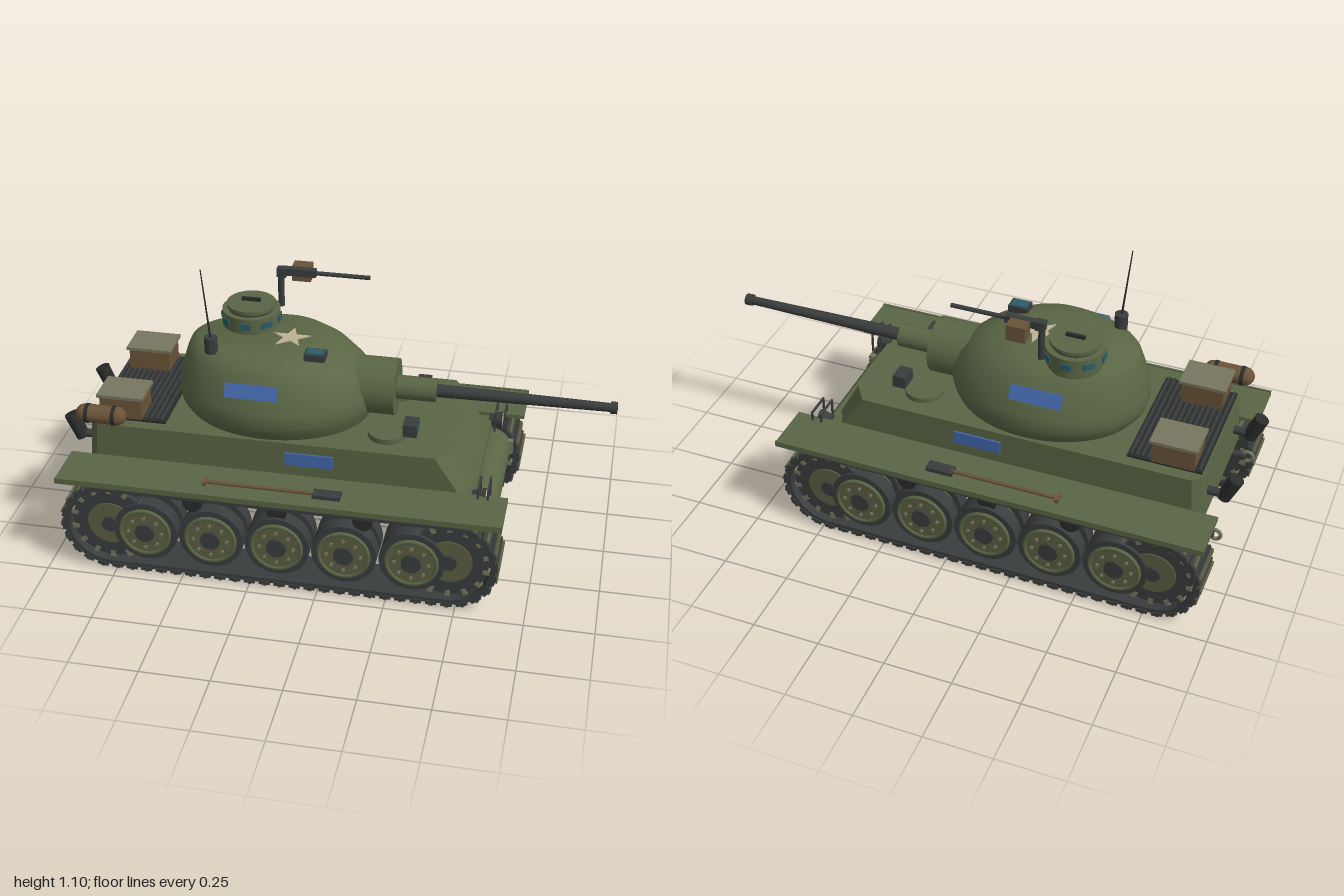
import * as THREE from 'three';
import { toCreasedNormals } from 'three/addons/utils/BufferGeometryUtils.js';

const GREEN = 0x5a6645, DARK = 0x3a3d3d, BLACK = 0x2a2c2c, OLIVE = 0x5c5f42, BROWN = 0x6a5438,
  BLUE = 0x4468ac, TEAL = 0x2c5c68, CREAM = 0xbdb394, CANVAS = 0x77765f;
const mats = {};
const mat = c => (mats[c] ??= new THREE.MeshStandardMaterial({ color: c }));

function add(parent, name, geo, color, x = 0, y = 0, z = 0, rx = 0, ry = 0, rz = 0) {
  const m = new THREE.Mesh(geo, mat(color));
  m.name = name;
  m.position.set(x, y, z);
  m.rotation.set(rx, ry, rz);
  parent.add(m);
  return m;
}
const box = (x, y, z) => new THREE.BoxGeometry(x, y, z);
const cylY = (r, h, n = 32, r2 = r) => new THREE.CylinderGeometry(r2, r, h, n);
const cylX = (r, h, n = 32, r2 = r) => cylY(r, h, n, r2).rotateZ(-Math.PI / 2);
const cylZ = (r, h, n = 32, r2 = r) => cylY(r, h, n, r2).rotateX(Math.PI / 2);

// Skin stacked rings of points (running +x to +z), with both ends capped
function loft(rings, crease) {
  const n = rings[0].length, pos = rings.flat(2), idx = [];
  rings.slice(1).forEach((_, k) => {
    for (let i = 0; i < n; i++) {
      const a = k * n + i, b = k * n + (i + 1) % n;
      idx.push(a, a + n, b, b, a + n, b + n);
    }
  });
  const t = (rings.length - 1) * n;
  for (let i = 1; i < n - 1; i++) idx.push(0, i, i + 1, t, t + i + 1, t + i);
  const g = new THREE.BufferGeometry();
  g.setAttribute('position', new THREE.Float32BufferAttribute(pos, 3));
  g.setIndex(idx);
  return toCreasedNormals(g, crease);
}

function buildHull(tank) {
  const hull = new THREE.Group();
  hull.name = 'hull';
  tank.add(hull);
  // Superstructure outline with chamfered corners
  const ring = (y, f, c, b) => [[f, y, -0.21], [f, y, 0.21], [c, y, 0.283], [b + 0.03, y, 0.283],
    [b, y, 0.25], [b, y, -0.25], [b + 0.03, y, -0.283], [c, y, -0.283]];
  add(hull, 'superstructure', loft([ring(0.31, 0.55, 0.52, -0.89), ring(0.51, 0.44, 0.39, -0.875)], 0.2), GREEN);
  add(hull, 'lowerHull', box(1.4, 0.14, 0.56), GREEN, -0.165, 0.3, 0);
  add(hull, 'nose', cylZ(0.075, 0.566, 40), GREEN, 0.535, 0.24, 0);
  // Engine deck grille
  add(hull, 'grillePlate', box(0.27, 0.012, 0.48), BLACK, -0.735, 0.513, 0);
  for (let i = 0; i < 13; i++) add(hull, 'grilleSlat', box(0.008, 0.014, 0.47), DARK, -0.86 + i * 0.0205, 0.521, 0);
  for (const s of [1, -1]) {
    // Driver hatches and periscopes
    add(hull, 'driverHatch', cylY(0.07, 0.02), GREEN, 0.2, 0.52, s * 0.155);
    add(hull, 'periscopeHood', box(0.05, 0.046, 0.07), DARK, 0.285, 0.552, s * 0.155);
    add(hull, 'periscopeGlass', box(0.004, 0.025, 0.052), TEAL, 0.311, 0.555, s * 0.155);
    add(hull, 'sidePanel', box(0.175, 0.05, 0.008), BLUE, -0.06, 0.448, s * 0.286);
    // Fender, edge lip and brackets
    add(hull, 'fender', box(1.605, 0.014, 0.193), GREEN, -0.148, 0.374, s * 0.3815);
    add(hull, 'fenderLip', box(1.605, 0.022, 0.008), GREEN, -0.148, 0.374, s * 0.474);
    for (let i = 0; i < 4; i++) add(hull, 'fenderBracket', box(0.014, 0.045, 0.05), DARK, -0.585 + i * 0.293, 0.345, s * 0.305);
    // Shovel
    add(hull, 'shovelHandle', cylX(0.007, 0.4, 10), BROWN, -0.21, 0.396, s * 0.41);
    add(hull, 'shovelGrip', box(0.014, 0.014, 0.04), BROWN, -0.41, 0.396, s * 0.41);
    add(hull, 'shovelBlade', box(0.1, 0.014, 0.045), DARK, 0.03, 0.395, s * 0.41);
    // Headlight and guard
    add(hull, 'headlight', cylX(0.02, 0.05, 24, 0.032), DARK, 0.55, 0.365, s * 0.268);
    add(hull, 'headlightLens', cylX(0.026, 0.006, 24), CREAM, 0.576, 0.365, s * 0.268);
    for (const dx of [0.55, 0.585]) {
      for (const z of [0.218, 0.31]) add(hull, 'guardPost', box(0.007, 0.075, 0.007), DARK, dx, 0.378, s * z);
      add(hull, 'guardBar', box(0.007, 0.007, 0.099), DARK, dx, 0.415, s * 0.264);
    }
    add(hull, 'towLug', box(0.04, 0.055, 0.022), CANVAS, 0.6, 0.25, s * 0.268);
    // Rear fittings
    add(hull, 'exhaust', cylY(0.025, 0.1, 20, 0.028), BLACK, -0.96, 0.43, s * 0.18, 0, 0, 0.4);
    add(hull, 'exhaustPipe', cylX(0.016, 0.08, 12), DARK, -0.91, 0.4, s * 0.18);
    add(hull, 'rearTowMount', cylX(0.014, 0.08, 12), DARK, -0.89, 0.25, s * 0.23);
    add(hull, 'rearTowRing', new THREE.TorusGeometry(0.02, 0.007, 8, 20), CANVAS, -0.935, 0.25, s * 0.23);
    // Stowage boxes
    add(hull, 'stowageBox', box(0.155, 0.08, 0.125), BROWN, -0.765, 0.56, s * 0.182);
    add(hull, 'stowageLid', box(0.172, 0.012, 0.14), CANVAS, -0.765, 0.606, s * 0.182);
  }
  // Canvas roll with straps
  add(hull, 'canvasRoll', new THREE.CapsuleGeometry(0.034, 0.12, 6, 20).rotateZ(Math.PI / 2), BROWN, -0.82, 0.56, 0.297);
  for (const x of [-0.87, -0.77]) add(hull, 'rollStrap', cylX(0.036, 0.014, 20), BLACK, x, 0.56, 0.297);
}

// Track loop: two half circles joined by straight runs
const REAR = -0.77, FRONT = 0.47, AXLE = 0.182;
function stadium(P, r) {
  const p = new P();
  p.absarc(FRONT, AXLE, r, -Math.PI / 2, Math.PI / 2, false);
  p.absarc(REAR, AXLE, r, Math.PI / 2, Math.PI * 1.5, false);
  p.closePath();
  return p;
}

function buildRunningGear(tank, s) {
  const gear = new THREE.Group();
  gear.name = 'runningGear';
  tank.add(gear);
  const Z = s * 0.369;
  const shape = stadium(THREE.Shape, 0.168);
  shape.holes.push(stadium(THREE.Path, 0.15));
  const belt = new THREE.ExtrudeGeometry(shape, { depth: 0.164, bevelEnabled: false, curveSegments: 28 });
  add(gear, 'trackBelt', toCreasedNormals(belt, 0.5), DARK, 0, 0, Z - 0.082);
  // Track pads and cleats
  const path = stadium(THREE.Path, 0.169), N = 64;
  const pad = box(0.04, 0.014, 0.172), cleat = box(0.013, 0.012, 0.166);
  for (let i = 0; i < N; i++) {
    const p = path.getPointAt(i / N), t = path.getTangentAt(i / N);
    const a = Math.atan2(t.y, t.x), nx = t.y, ny = -t.x;
    add(gear, 'trackPad', pad, DARK, p.x, p.y, Z, 0, 0, a);
    add(gear, 'trackCleat', cleat, OLIVE, p.x + nx * 0.008, p.y + ny * 0.008, Z, 0, 0, a);
  }
  // Road wheels
  const tire = cylZ(0.118, 0.055, 40), bolt = cylZ(0.007, 0.012, 6);
  for (let i = 0; i < 5; i++) {
    const x = -0.636 + i * 0.244, y = 0.168;
    for (const z of [0.325, 0.41]) add(gear, 'roadWheelTire', tire, DARK, x, y, s * z);
    add(gear, 'roadWheelDisc', cylZ(0.094, 0.135, 40), OLIVE, x, y, s * 0.376);
    add(gear, 'roadWheelRim', new THREE.TorusGeometry(0.09, 0.008, 8, 40), GREEN, x, y, s * 0.441);
    add(gear, 'roadWheelHub', cylZ(0.036, 0.16, 24), DARK, x, y, s * 0.373);
    for (let k = 0; k < 8; k++) {
      const a = k * Math.PI / 4;
      add(gear, 'wheelBolt', bolt, CANVAS, x + 0.062 * Math.cos(a), y + 0.062 * Math.sin(a), s * 0.445);
    }
  }
  // Toothed end wheels
  for (const x of [REAR, FRONT]) {
    for (const z of [0.315, 0.415]) {
      add(gear, 'sprocketDisc', cylZ(0.142, 0.02, 40), DARK, x, AXLE, s * z);
      for (let k = 0; k < 14; k++) {
        const a = (k + 0.5) * Math.PI / 7;
        add(gear, 'sprocketTooth', box(0.03, 0.018, 0.024), CANVAS,
          x + 0.14 * Math.cos(a), AXLE + 0.14 * Math.sin(a), s * z, 0, 0, a);
      }
    }
    add(gear, 'sprocketHub', cylZ(0.085, 0.15, 32), OLIVE, x, AXLE, s * 0.355);
    add(gear, 'sprocketAxle', cylZ(0.03, 0.2, 20), DARK, x, AXLE, s * 0.34);
  }
  // Return rollers
  for (const x of [-0.46, -0.15, 0.16]) add(gear, 'returnRoller', cylZ(0.036, 0.14, 24), BLACK, x, 0.305, s * 0.355);
}

function buildTurret(tank) {
  const turret = new THREE.Group();
  turret.name = 'turret';
  tank.add(turret);
  // Each level: height, rear x, front x, half width
  const levels = [[0.508, -0.565, 0.11, 0.27], [0.54, -0.59, 0.122, 0.288], [0.575, -0.6, 0.13, 0.301],
    [0.62, -0.595, 0.127, 0.294], [0.68, -0.58, 0.1, 0.27], [0.735, -0.563, 0.04, 0.242],
    [0.762, -0.55, -0.02, 0.215], [0.778, -0.525, -0.09, 0.18]];
  const C = -0.23, n = 56;
  const rings = levels.map(([y, b, f, w]) => Array.from({ length: n }, (_, i) => {
    const a = i / n * Math.PI * 2, c = Math.cos(a);
    return [C + c * (c > 0 ? f - C : C - b), y, w * Math.sin(a)];
  }));
  add(turret, 'turretShell', loft(rings, 0.6), GREEN);
  // Gun
  add(turret, 'mantlet', cylX(0.104, 0.15, 40), GREEN, 0.135, 0.622, 0);
  add(turret, 'gunSleeve', cylX(0.043, 0.16, 32), GREEN, 0.275, 0.622, 0);
  add(turret, 'gunBarrel', cylX(0.024, 0.63, 24, 0.016), DARK, 0.665, 0.622, 0);
  add(turret, 'muzzleRing', cylX(0.022, 0.025, 24), DARK, 0.9875, 0.622, 0);
  add(turret, 'muzzleBore', cylX(0.011, 0.002, 16), BLACK, 1, 0.622, 0);
  for (const s of [1, -1])
    add(turret, 'turretPanel', box(0.19, 0.052, 0.014), BLUE, -0.27, 0.695, s * 0.266, -s * 0.44);
  // Commander cupola with vision blocks
  const cx = -0.355, cz = -0.104;
  add(turret, 'cupola', cylY(0.107, 0.075, 40), GREEN, cx, 0.8, cz);
  add(turret, 'cupolaNeck', cylY(0.085, 0.012, 32), DARK, cx, 0.842, cz);
  add(turret, 'cupolaLid', cylY(0.09, 0.014, 40), GREEN, cx, 0.853, cz);
  add(turret, 'lidHandle', box(0.07, 0.012, 0.012), BLACK, cx, 0.87, cz);
  for (let k = 0; k < 8; k++) {
    const a = k * Math.PI / 4;
    add(turret, 'visionBlock', box(0.012, 0.024, 0.042), TEAL, cx + 0.104 * Math.cos(a), 0.808, cz + 0.104 * Math.sin(a), 0, -a);
  }
  // Machine gun on its post
  add(turret, 'gunPost', cylY(0.012, 0.15, 16), DARK, -0.262, 0.885, -0.193);
  add(turret, 'gunCradle', box(0.035, 0.034, 0.03), DARK, -0.258, 0.948, -0.193);
  add(turret, 'gunReceiver', box(0.13, 0.028, 0.026), DARK, -0.195, 0.951, -0.197);
  add(turret, 'machineGunBarrel', cylX(0.008, 0.21, 12), DARK, -0.035, 0.951, -0.197);
  add(turret, 'ammoBox', box(0.07, 0.06, 0.05), BROWN, -0.19, 0.935, -0.236);
  // Antenna
  add(turret, 'antennaBase', cylY(0.024, 0.06, 20), DARK, -0.445, 0.8, 0.137);
  add(turret, 'antenna', cylY(0.004, 0.27, 8, 0.002), BLACK, -0.458, 0.961, 0.141, 0.015, 0, 0.093);
  // Roof periscope
  add(turret, 'roofPeriscope', box(0.075, 0.026, 0.055), DARK, -0.07, 0.782, 0.112);
  add(turret, 'roofPeriscopeGlass', box(0.06, 0.004, 0.04), TEAL, -0.07, 0.796, 0.112);
  // Painted star on the roof
  const star = new THREE.Shape();
  for (let i = 0; i < 10; i++) {
    const a = Math.PI / 2 + i * Math.PI / 5, r = i % 2 ? 0.028 : 0.073;
    star[i ? 'lineTo' : 'moveTo'](r * Math.cos(a), r * Math.sin(a));
  }
  add(turret, 'roofStar', new THREE.ExtrudeGeometry(star, { depth: 0.006, bevelEnabled: false }), CREAM, -0.185, 0.777, -0.005, -Math.PI / 2);
}

export function createModel() {
  const tank = new THREE.Group();
  tank.name = 'tank';
  buildHull(tank);
  for (const s of [1, -1]) buildRunningGear(tank, s);
  buildTurret(tank);
  return tank;
}
